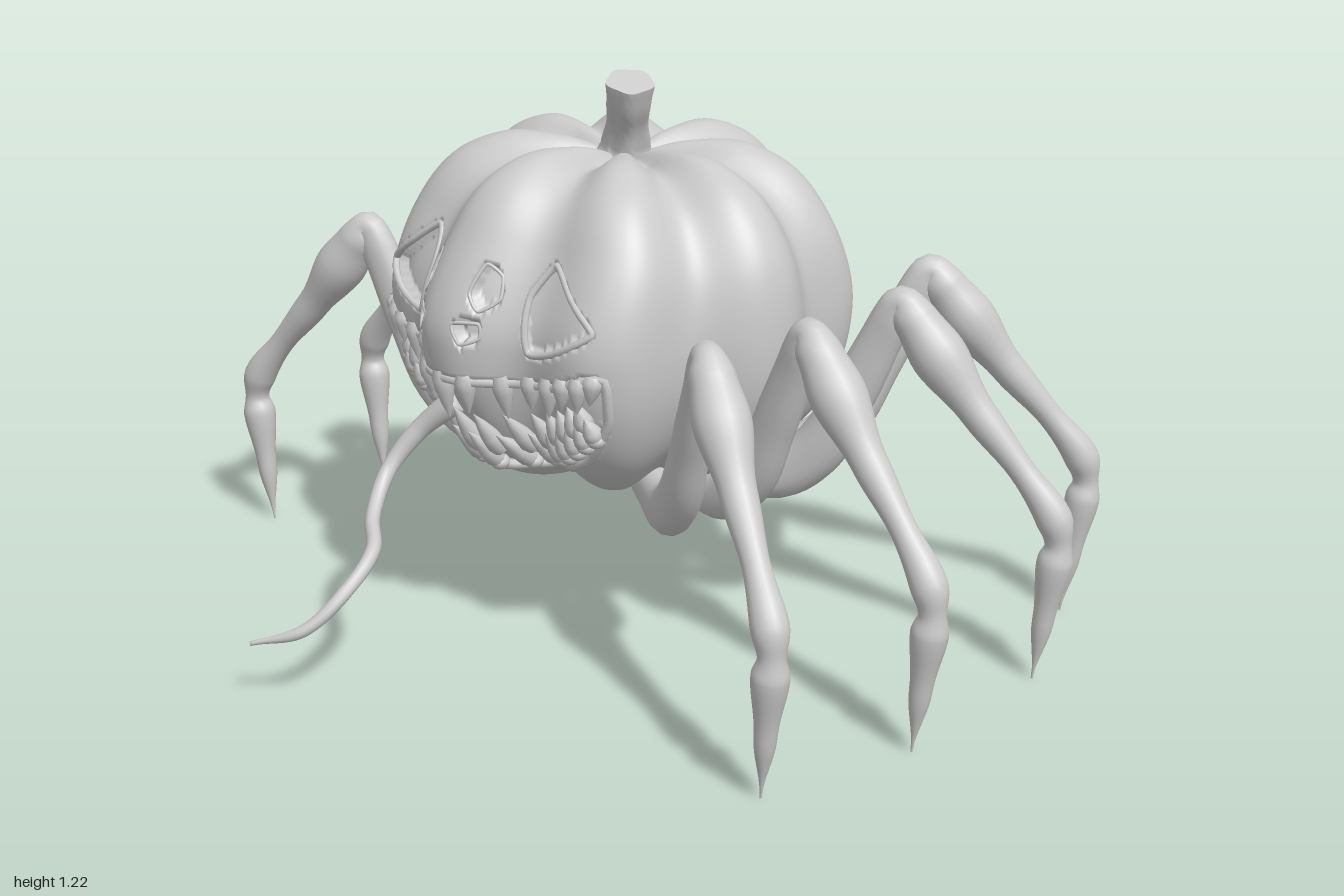
import * as THREE from 'three';
import { toCreasedNormals } from 'three/addons/utils/BufferGeometryUtils.js';

const V = (x, y, z) => new THREE.Vector3(x, y, z);
const { lerp, smoothstep } = THREE.MathUtils;
const mat = new THREE.MeshStandardMaterial({ color: 0xcccccc, side: THREE.DoubleSide });
const HUB_Z = -0.085;

function add(parent, name, geometry) {
  const m = new THREE.Mesh(geometry, mat);
  m.name = name;
  parent.add(m);
  return m;
}

// Joins closed rings of points into a capped surface
function skin(rings) {
  const n = rings[0].length, pos = [], idx = [];
  rings.forEach(r => r.forEach(p => pos.push(p.x, p.y, p.z)));
  for (let i = 0; i < rings.length - 1; i++) for (let j = 0; j < n; j++) {
    const a = i * n + j, b = i * n + (j + 1) % n;
    idx.push(a, b, a + n, b, b + n, a + n);
  }
  [0, rings.length - 1].forEach(e => {
    const c = V(0, 0, 0);
    rings[e].forEach(p => c.addScaledVector(p, 1 / n));
    const k = pos.length / 3;
    pos.push(c.x, c.y, c.z);
    for (let j = 0; j < n; j++) {
      const a = e * n + j, b = e * n + (j + 1) % n;
      if (e) idx.push(a, b, k); else idx.push(b, a, k);
    }
  });
  const g = new THREE.BufferGeometry();
  g.setAttribute('position', new THREE.Float32BufferAttribute(pos, 3));
  g.setIndex(idx);
  g.computeVertexNormals();
  return g;
}

// Sweeps a section of changing radius along a curve; side fixes its twist, rib(angle, t) shapes the section
function sweep(points, radii, side, steps, sides, rib = () => 1) {
  const curve = new THREE.CatmullRomCurve3(points), rings = [];
  for (let i = 0; i <= steps; i++) {
    const t = i / steps, p = curve.getPoint(t), T = curve.getTangent(t);
    const B = side.clone().addScaledVector(T, -side.dot(T)).normalize();
    const N = B.clone().cross(T);
    const f = t * (radii.length - 1), k = Math.min(Math.floor(f), radii.length - 2);
    const r = lerp(radii[k], radii[k + 1], smoothstep(f - k, 0, 1));
    rings.push(Array.from({ length: sides }, (_, j) => {
      const a = j / sides * Math.PI * 2, q = r * rib(a, t);
      return p.clone().addScaledVector(N, q * Math.cos(a)).addScaledVector(B, q * Math.sin(a));
    }));
  }
  return skin(rings);
}

// Eight-lobed pumpkin; dent(point) returns how far to press a point inward
const profile = new THREE.SplineCurve([[0.01, 0.37], [0.15, 0.345], [0.3, 0.38], [0.42, 0.47], [0.49, 0.6],
  [0.51, 0.75], [0.485, 0.9], [0.4, 1.015], [0.28, 1.07], [0.16, 1.07], [0.07, 1.05], [0.01, 1.02]]
  .map(p => new THREE.Vector2(...p)));

function pumpkin(nu, nv, dent) {
  const rings = [];
  for (let i = 0; i <= nv; i++) {
    const p = profile.getPoint(i / nv), ring = [];
    for (let j = 0; j < nu; j++) {
      const u = (j / nu) * Math.PI * 2, phi = u - 0.55 * Math.sin(u); // finer at the front
      const groove = Math.pow(0.5 - 0.5 * Math.cos(8 * phi), 1.25);
      const corner = Math.sin(2 * phi) ** 2;
      const r = p.x * (1 - 0.12 * groove + 0.03 * corner) * (1 - 0.03 * Math.sin(phi) ** 2);
      const y = 0.7 + (p.y - 0.7) * (1 - 0.1 * groove * Math.min(1, p.x / 0.15));
      // shoulders slope in at the front and back, rear corners sit further forward
      const depth = (1 - 0.1 * smoothstep(p.y, 0.72, 0.95)) * (1 - corner * (Math.cos(phi) < 0 ? 0.09 : 0.02));
      const q = V(Math.sin(phi) * r, y, Math.cos(phi) * r * depth + HUB_Z);
      const d = 1 - dent(q);
      q.x *= d;
      q.z = (q.z - HUB_Z) * d + HUB_Z;
      ring.push(q);
    }
    rings.push(ring);
  }
  return skin(rings);
}

// Smooth closed outline through a few points in the front plane
const outline = pts => new THREE.CatmullRomCurve3(pts.map(p => V(p[0], p[1], 0)), true, 'catmullrom', 0.3)
  .getPoints(60).slice(0, -1);

function inside(poly, x, y) {
  let hit = false;
  for (let i = 0, j = poly.length - 1; i < poly.length; j = i++) {
    const a = poly[i], b = poly[j];
    if ((a.y > y) !== (b.y > y) && x < (b.x - a.x) * (y - a.y) / (b.y - a.y) + a.x) hit = !hit;
  }
  return hit;
}

export function createModel() {
  const model = new THREE.Group();
  const group = name => {
    const g = new THREE.Group();
    g.name = name;
    model.add(g);
    return g;
  };

  // Finds the body surface in front of a point (x, y)
  const plain = new THREE.Mesh(pumpkin(128, 64, () => 0), mat);
  const ray = new THREE.Raycaster();
  const onBody = (x, y, lift = 0) => {
    ray.set(V(x, y, 2), V(0, 0, -1));
    const h = ray.intersectObject(plain)[0];
    return V(x, y, (h ? h.point.z : 0.2) + lift);
  };

  // Face outlines
  const holes = [];
  const eye = [[0.34, 0.79], [0.27, 0.85], [0.2, 0.895], [0.165, 0.83], [0.185, 0.72], [0.26, 0.735]];
  const nostril = [[0.075, 0.885], [0.108, 0.865], [0.118, 0.82], [0.09, 0.795], [0.064, 0.83]];
  const slit = [[0.045, 0.765], [0.095, 0.77], [0.1, 0.74], [0.065, 0.725]];
  for (const s of [1, -1]) {
    const mirror = pts => outline(pts.map(p => [p[0] * s, p[1]]));
    holes.push({ name: 'eyeRim', poly: mirror(eye), depth: 0.06, rim: 0.008 });
    holes.push({ name: 'nostrilRim', poly: mirror(nostril), depth: 0.06, rim: 0.004 });
    holes.push({ name: 'noseSlitRim', poly: mirror(slit), depth: 0.06, rim: 0.004 });
  }
  const half = [[0.13, 0.645], [0.25, 0.66], [0.36, 0.7], [0.355, 0.6], [0.29, 0.5], [0.16, 0.435]];
  const mouth = outline([[0, 0.64], ...half, [0, 0.415], ...half.map(p => [-p[0], p[1]]).reverse()]);
  holes.push({ name: 'lips', poly: mouth, depth: 0.09, rim: 0.011 });

  add(model, 'pumpkinBody', pumpkin(320, 150, q => {
    const h = q.z > 0.1 && holes.find(o => inside(o.poly, q.x, q.y));
    return h ? h.depth : 0;
  }));
  const face = group('face');
  for (const h of holes) {
    const path = new THREE.CatmullRomCurve3(h.poly.map(p => onBody(p.x, p.y, -h.rim * 0.5)), true);
    add(face, h.name, new THREE.TubeGeometry(path, 120, h.rim, 8, true));
  }

  // Teeth: upper row hanging, two staggered lower rows with bumpy gums
  const teeth = group('teeth');
  const tooth = (name, a, b, r) => {
    const len = a.distanceTo(b);
    const shape = [[0.7, 0], [1, 0.18], [0.9, 0.4], [0.5, 0.72], [0, 1]];
    const g = new THREE.LatheGeometry(shape.map(p => new THREE.Vector2(p[0] * r, p[1] * len)), 10);
    const m = add(teeth, name, g);
    m.position.copy(a);
    m.quaternion.setFromUnitVectors(V(0, 1, 0), b.clone().sub(a).normalize());
  };
  const upperY = x => 0.645 + 0.4 * x * x;
  const lowerY = x => 0.425 + 1.25 * x * x;
  for (let i = 0; i < 15; i++) {
    const x = 0.345 * Math.sin((i - 7) / 7 * 1.2) / Math.sin(1.2);
    const len = (i % 2 ? 0.105 : 0.085) * (1 - 1.4 * Math.abs(x) ** 1.2);
    const y = upperY(x);
    tooth('upperTooth', onBody(x, y + 0.012, -0.01), onBody(x * 0.99, y - len, 0.006), 0.023);
  }
  for (let row = 0; row < 2; row++) for (let i = 0; i < 16 - row; i++) {
    const x = (0.325 - row * 0.01) * Math.sin((i - 7.5 + row / 2) / 7.5 * 1.2) / Math.sin(1.2);
    const y = lowerY(x) + row * 0.035;
    const len = (0.09 + row * 0.015) * (1 - 1.3 * Math.abs(x));
    tooth('lowerTooth', onBody(x, y, -0.004 - row * 0.012), onBody(x * 0.99, y + len, -row * 0.012), 0.022);
    if (!row) {
      const gum = add(teeth, 'gum', new THREE.SphereGeometry(0.022, 12, 8));
      gum.position.copy(onBody(x, y, -0.004));
      gum.scale.set(1, 0.8, 1);
    }
  }

  // Long wavy tongue
  const tongue = [[-0.04, 0.56, 0.34], [-0.11, 0.48, 0.395], [-0.13, 0.4, 0.46], [-0.08, 0.33, 0.535],
    [0, 0.295, 0.59], [0.033, 0.24, 0.68], [0.01, 0.17, 0.77], [-0.07, 0.135, 0.85]].map(p => V(...p));
  add(model, 'tongue', sweep(tongue, [0.028, 0.022, 0.018, 0.016, 0.016, 0.015, 0.013, 0.005], V(0, 1, 0), 70, 12));

  // Ribbed, leaning stem
  const stem = [[-0.015, 1.0, -0.09], [0, 1.06, -0.085], [0.03, 1.12, -0.065], [0.055, 1.17, -0.048], [0.066, 1.208, -0.042]];
  add(model, 'stem', toCreasedNormals(sweep(stem.map(p => V(...p)), [0.08, 0.052, 0.043, 0.046, 0.05], V(0, 0, 1), 20, 40,
    a => 1 + 0.06 * Math.cos(5 * a)), 0.9));

  // Legs: one profile of [reach, height, radius], bent towards each knee and ankle
  const legProfile = [[0.02, 0.37, 0.03], [0.2, 0.365, 0.05], [0.35, 0.365, 0.058], [0.44, 0.44, 0.058],
    [0.51, 0.58, 0.052], [0.575, 0.73, 0.045], [0.603, 0.79, 0.035], [0.635, 0.755, 0.048], [0.69, 0.685, 0.059],
    [0.78, 0.575, 0.038], [0.88, 0.465, 0.028], [0.955, 0.37, 0.038], [0.968, 0.315, 0.028],
    [0.963, 0.27, 0.038], [0.947, 0.14, 0.023], [0.93, 0, 0.002]];
  const thighSection = (a, t) => 1 - 0.3 * Math.sin(a) ** 2 * (1 - smoothstep(t, 0.3, 0.45)); // flat-sided thigh
  const legs = [
    ['frontLeg', [0.58, 0.19], [0.91, 0.31]],
    ['sideLeg', [0.6, -0.06], [0.965, -0.06]],
    ['rearSideLeg', [0.57, -0.35], [0.895, -0.505]],
    ['backLeg', [0.45, -0.56], [0.7, -0.82]],
  ];
  for (const s of [1, -1]) for (const [name, knee, ankle] of legs) {
    const K = V(knee[0] * s, 0, knee[1]), A = V(ankle[0] * s, 0, ankle[1]), hub = V(0, 0, HUB_Z);
    const pts = legProfile.map(([r, y]) => {
      const p = r < 0.6 ? hub.clone().lerp(K, r / 0.6) : K.clone().lerp(A, (r - 0.6) / 0.365);
      return p.setY(y);
    });
    const side = A.clone().sub(hub).cross(V(0, 1, 0)).normalize();
    add(model, (s > 0 ? 'left ' : 'right ') + name,
      sweep(pts, legProfile.map(p => p[2]), side, 90, 18, thighSection));
  }
  return model;
}
